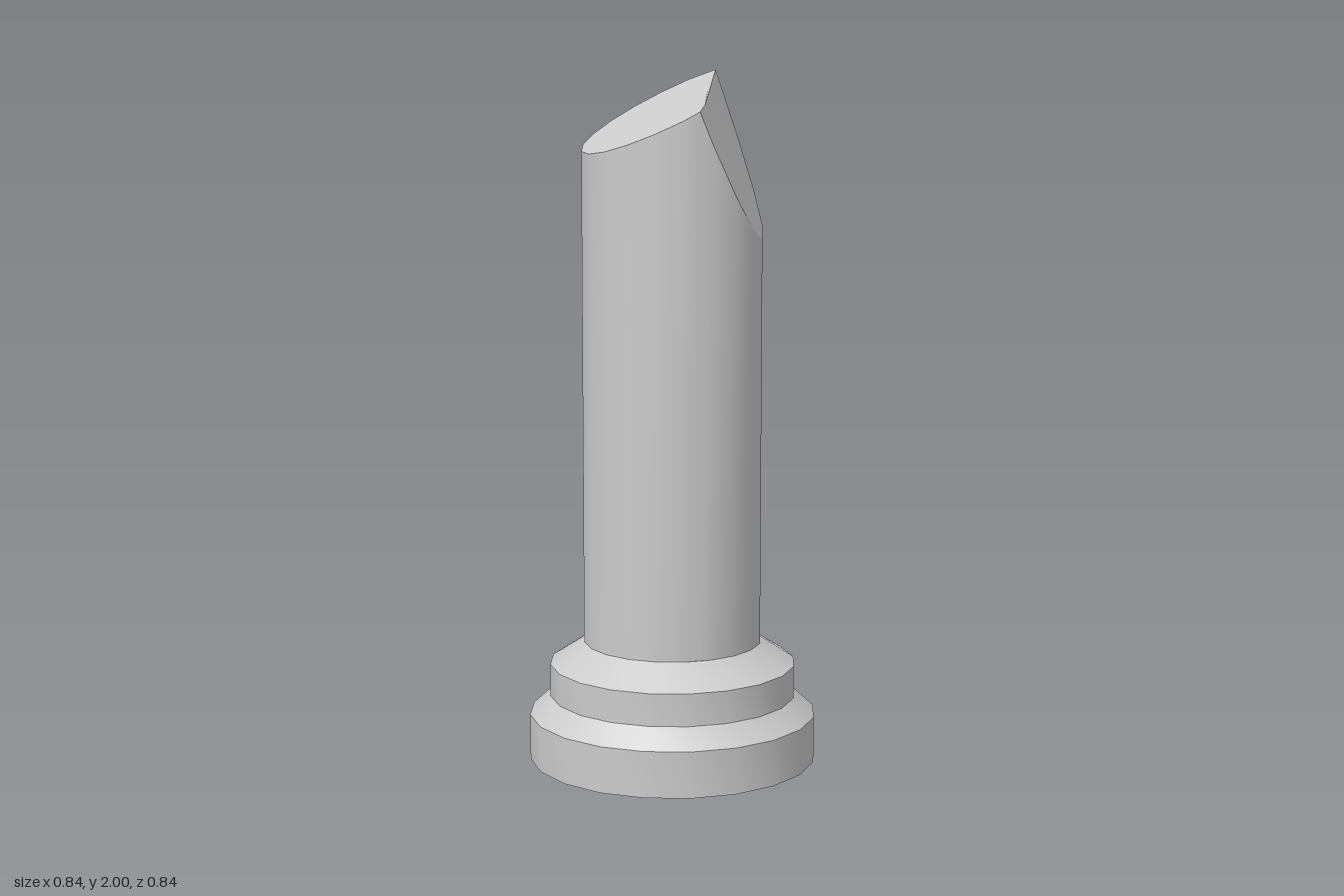
import * as THREE from 'three';
import { toCreasedNormals } from 'three/addons/utils/BufferGeometryUtils.js';

const SIDES = 20, RADIUS = 0.26, SHAFT_BOTTOM = 0.35, CREASE = 0.6;
const material = new THREE.MeshStandardMaterial({ color: 0xcccccc });

// The two break planes: a gentle slope and a steep chip
const slopeY = (x, z) => 1.905 + 0.485 * x - 0.11 * z;
const chipY = (x, z) => (0.89 - 0.32 * z - x) / 0.403;

function addMesh(group, name, geometry) {
  const mesh = new THREE.Mesh(toCreasedNormals(geometry, CREASE), material);
  mesh.name = name;
  group.add(mesh);
}

// Stepped round base with chamfered shoulders
function baseGeometry() {
  const profile = [[0, 0], [0.42, 0], [0.42, 0.135], [0.36, 0.19], [0.36, 0.285], [RADIUS, SHAFT_BOTTOM]];
  return new THREE.LatheGeometry(profile.map(([r, y]) => new THREE.Vector2(r, y)), SIDES);
}

// Rim of the break, starting at the peak (-54 degrees) and running round past the front
function breakRim() {
  const rim = [];
  let ridgeEnd = 0;
  for (let i = 0; i < SIDES; i++) {
    const a = ((i - 3) / SIDES) * Math.PI * 2;
    const x = RADIUS * Math.cos(a), z = RADIUS * Math.sin(a);
    if (i === 8) {
      // front end of the ridge lies between two corners
      ridgeEnd = rim.length;
      rim.push(new THREE.Vector3(0.045, 1.9, 0.252));
    }
    const y = i === 0 ? 2 : Math.min(slopeY(x, z), chipY(x, z));
    rim.push(new THREE.Vector3(x, y, z));
  }
  return { rim, ridgeEnd };
}

function fromTriangles(points) {
  return new THREE.BufferGeometry().setFromPoints(points);
}

// Shaft wall between the base and the broken rim
function wallGeometry(rim) {
  const points = [];
  rim.forEach((top, i) => {
    const nextTop = rim[(i + 1) % rim.length];
    const low = top.clone().setY(SHAFT_BOTTOM);
    const nextLow = nextTop.clone().setY(SHAFT_BOTTOM);
    points.push(low, top, nextLow, top, nextTop, nextLow);
  });
  return fromTriangles(points);
}

// Fill an outline seen from above, with every triangle facing up
function capGeometry(outline) {
  const flat = outline.map((p) => new THREE.Vector2(p.x, p.z));
  const points = [];
  for (const [i, j, k] of THREE.ShapeUtils.triangulateShape(flat, [])) {
    const a = outline[i], b = outline[j], c = outline[k];
    const up = (b.z - a.z) * (c.x - a.x) - (b.x - a.x) * (c.z - a.z);
    points.push(...(up > 0 ? [a, b, c] : [a, c, b]));
  }
  return fromTriangles(points);
}

export function createModel() {
  const model = new THREE.Group();
  model.name = 'brokenColumn';
  const { rim, ridgeEnd } = breakRim();

  // Slightly wavy ridge between the two break faces, from peak to front
  const ridge = [[0.117, -0.1], [0.1, 0], [0.07, 0.17]]
    .map(([x, z]) => new THREE.Vector3(x, slopeY(x, z) - 0.005, z));

  addMesh(model, 'base', baseGeometry());
  addMesh(model, 'shaft', wallGeometry(rim));
  addMesh(model, 'steepBreak', capGeometry([...rim.slice(0, ridgeEnd + 1), ...[...ridge].reverse()]));
  addMesh(model, 'slopedBreak', capGeometry([...rim.slice(ridgeEnd), rim[0], ...ridge]));
  return model;
}
